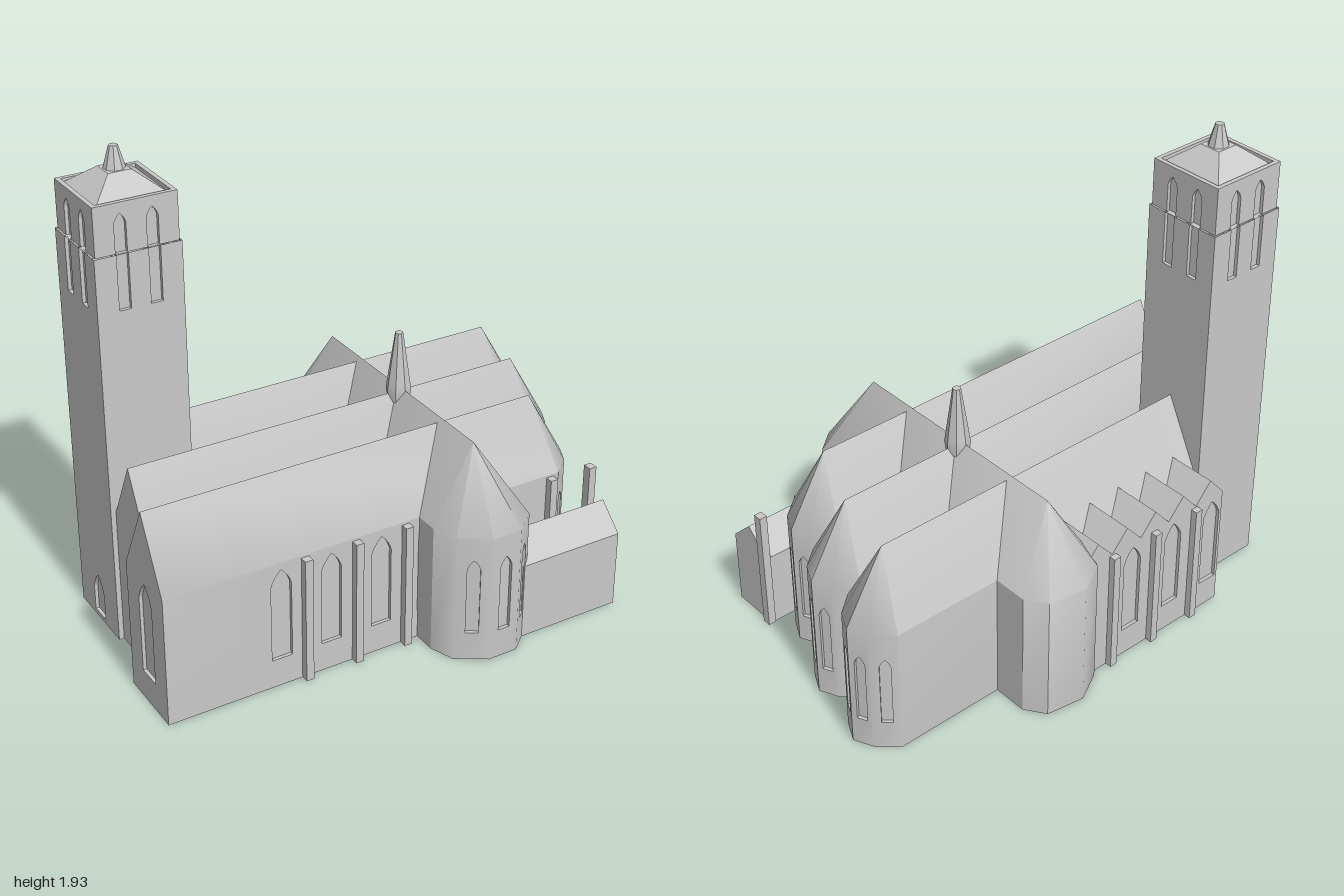
import * as THREE from 'three';
import { mergeGeometries, toCreasedNormals } from 'three/addons/utils/BufferGeometryUtils.js';
import { ConvexGeometry } from 'three/addons/geometries/ConvexGeometry.js';

const stone = new THREE.MeshStandardMaterial({ color: 0xc8c8c8, side: THREE.DoubleSide });
stone.name = 'stone';

const EAVE = 0.535, DEPTH = 0.014, CREASE = 0.75;

function mesh(name, geometry, x = 0, y = 0, z = 0) {
  const m = new THREE.Mesh(geometry, stone);
  m.name = name;
  m.position.set(x, y, z);
  return m;
}

function plain(g) {
  const n = g.index ? g.toNonIndexed() : g;
  n.deleteAttribute('uv');
  return n;
}

const box = (name, x0, x1, y0, y1, z0, z1) =>
  mesh(name, new THREE.BoxGeometry(x1 - x0, y1 - y0, z1 - z0), (x0 + x1) / 2, (y0 + y1) / 2, (z0 + z1) / 2);

// Window outline: pointed arch, or a plain rectangle when flat
function windowShape({ u, w, y0, y1, flat }) {
  const s = new THREE.Shape(), h = w / 2, spring = y1 - w * 0.8;
  s.moveTo(u - h, y0);
  s.lineTo(u + h, y0);
  if (flat) {
    s.lineTo(u + h, y1);
    s.lineTo(u - h, y1);
  } else {
    s.lineTo(u + h, spring);
    s.quadraticCurveTo(u + h * 0.75, spring + w * 0.45, u, y1);
    s.quadraticCurveTo(u - h * 0.75, spring + w * 0.45, u - h, spring);
  }
  s.closePath();
  return s;
}

// Wall from a to b (left to right seen from outside) with recessed windows
function wall(a, b, y0, y1, windows = []) {
  const dir = new THREE.Vector3(b[0] - a[0], 0, b[1] - a[1]);
  const len = dir.length();
  dir.normalize();
  const up = new THREE.Vector3(0, 1, 0);
  const matrix = new THREE.Matrix4().makeBasis(dir, up, dir.clone().cross(up)).setPosition(a[0], 0, a[1]);
  const face = new THREE.Shape([[0, y0], [len, y0], [len, y1], [0, y1]].map(p => new THREE.Vector2(...p)));
  const recesses = [];
  for (const w of windows) {
    const shape = windowShape({ u: len / 2, ...w });
    face.holes.push(shape);
    recesses.push(plain(new THREE.ShapeGeometry(shape, 4).translate(0, 0, -DEPTH)));
    // Reveal strip around the opening
    const pts = shape.getPoints(4), pos = [];
    pts.forEach((p, i) => {
      const q = pts[(i + 1) % pts.length];
      pos.push(p.x, p.y, 0, q.x, q.y, -DEPTH, q.x, q.y, 0, p.x, p.y, 0, p.x, p.y, -DEPTH, q.x, q.y, -DEPTH);
    });
    const reveal = new THREE.BufferGeometry();
    reveal.setAttribute('position', new THREE.Float32BufferAttribute(pos, 3));
    reveal.computeVertexNormals();
    recesses.push(reveal);
  }
  return {
    face: plain(new THREE.ShapeGeometry(face, 4)).applyMatrix4(matrix),
    recesses: recesses.map(g => g.applyMatrix4(matrix)),
  };
}

// Closed ring of walls; windows are listed by edge number; extra surfaces join the smoothing
function walls(name, poly, y0, y1, windows, extra = []) {
  const group = new THREE.Group();
  group.name = name;
  const parts = poly.map((p, i) => wall(p, poly[(i + 1) % poly.length], y0, y1, windows[i]));
  const floor = new THREE.ShapeGeometry(new THREE.Shape(poly.map(p => new THREE.Vector2(...p))));
  floor.rotateX(Math.PI / 2).translate(0, y0, 0);
  const shell = mergeGeometries([...parts.map(p => p.face), plain(floor), ...extra]);
  group.add(mesh(name + 'Shell', toCreasedNormals(shell, CREASE)));
  const recesses = parts.flatMap(p => p.recesses);
  if (recesses.length) group.add(mesh(name + 'Windows', mergeGeometries(recesses)));
  return group;
}

// Walls with a pitched roof spanning from the eaves to a ridge
function roofed(name, poly, ridge, windows) {
  const eaves = poly.map(([x, z]) => new THREE.Vector3(x, EAVE, z));
  const roof = plain(new ConvexGeometry([...eaves, ...ridge.map(p => new THREE.Vector3(...p))]));
  return walls(name, poly, 0, EAVE, windows, [roof]);
}

// Nave running along x with a many-sided apse at its right end
function nave(name, x0, tip, zc, windows) {
  const w = 0.146, s = tip - 0.115, m = tip - 0.038;
  const poly = [[x0, zc + w], [s, zc + w], [m, zc + 0.08], [tip, zc], [m, zc - 0.08], [s, zc - w], [x0, zc - w]];
  const apse = [{ w: 0.042, y0: 0.12, y1: 0.42 }];
  return roofed(name, poly, [[x0, 0.82, zc], [tip - 0.168, 0.82, zc]], { 1: apse, 2: apse, 3: apse, 4: apse, ...windows });
}

// Rectangle corners, starting at the front left and going round
const rect = (x0, x1, z0, z1) => [[x0, z1], [x1, z1], [x1, z0], [x0, z0]];

function prism(pts, depth) {
  return new THREE.ExtrudeGeometry(new THREE.Shape(pts.map(p => new THREE.Vector2(...p))), { depth, bevelEnabled: false });
}

function tower() {
  const g = new THREE.Group();
  g.name = 'bellTower';
  const x0 = -0.93, x1 = -0.59, z0 = -0.475, z1 = -0.14, cx = -0.76, cz = -0.3075, i = 0.007;
  const pair = (len, o) => [-0.062, 0.062].map(d => ({ u: len / 2 + d, w: 0.046, ...o }));
  const low = [0, 1, 2, 3].map(k => pair(k % 2 ? z1 - z0 : x1 - x0, { y0: 1.375, y1: 1.5895, flat: true }));
  low[3].push({ w: 0.09, y0: 0.02, y1: 0.2 });
  const high = [0, 1, 2, 3].map(k => pair((k % 2 ? z1 - z0 : x1 - x0) - 2 * i, { y0: 1.5905, y1: 1.74 }));
  g.add(walls('towerShaft', rect(x0, x1, z0, z1), 0, 1.59, low));
  g.add(walls('belfry', rect(x0 + i, x1 - i, z0 + i, z1 - i), 1.59, 1.755, high));
  // Parapet rim and deck
  const t = 0.018;
  const toShape = pts => new THREE.Shape(pts.map(([x, z]) => new THREE.Vector2(x, -z)));
  const rim = toShape(rect(x0 + i, x1 - i, z0 + i, z1 - i));
  rim.holes.push(toShape(rect(x0 + i + t, x1 - i - t, z0 + i + t, z1 - i - t)));
  const rimGeo = new THREE.ExtrudeGeometry(rim, { depth: 0.025, bevelEnabled: false }).rotateX(-Math.PI / 2);
  g.add(mesh('parapet', rimGeo, 0, 1.755, 0));
  g.add(box('towerDeck', x0 + i + t, x1 - i - t, 1.745, 1.757, z0 + i + t, z1 - i - t));
  // Low pyramid roof and lantern
  const r = Math.SQRT2;
  const roof = new THREE.CylinderGeometry(0.045 * r, 0.152 * r, 0.085, 4, 1).rotateY(Math.PI / 4);
  g.add(mesh('towerRoof', toCreasedNormals(roof, 0.4), cx, 1.7995, cz));
  const lantern = new THREE.CylinderGeometry(0.017, 0.041, 0.085, 8).rotateY(Math.PI / 8);
  g.add(mesh('lantern', toCreasedNormals(lantern, 0.4), cx, 1.8835, cz));
  return g;
}

export function createModel() {
  const model = new THREE.Group();
  model.name = 'church';
  const bays = [-0.53, -0.32, -0.105, 0.1];
  const bayWindows = x0 => bays.map(x => ({ u: x - x0, w: 0.085, y0: 0.12, y1: 0.505 }));

  // Three parallel naves
  model.add(nave('frontNave', -1, 0.815, 0.28, { 0: bayWindows(-1), 6: [{ w: 0.1, y0: 0.12, y1: 0.52 }] }));
  model.add(nave('middleNave', -0.91, 0.935, -0.01, {}));
  model.add(nave('backNave', -0.6, 0.997, -0.302, {}));

  // Transept with an apse at both ends
  const lancet = [{ w: 0.05, y0: 0.12, y1: 0.44 }];
  model.add(roofed('transept',
    [[0.06, -0.55], [0.06, 0.52], [0.095, 0.62], [0.21, 0.692], [0.335, 0.692], [0.425, 0.615],
      [0.425, -0.59], [0.37, -0.67], [0.215, -0.695], [0.095, -0.63]],
    [[0.24, 0.84, 0.5], [0.24, 0.84, -0.51]], { 2: lancet, 3: lancet, 4: lancet }));

  // Slim spire over the crossing
  const spire = new THREE.LatheGeometry(
    [[0, 0.72], [0.035, 0.74], [0.05, 0.83], [0.046, 0.86], [0.016, 1.07], [0, 1.07]].map(p => new THREE.Vector2(...p)), 8);
  model.add(mesh('crossingSpire', toCreasedNormals(spire, 0.4), 0.24, 0, -0.01));

  // Back aisle with a row of small cross gables
  const ax = -0.585, aisleWindows = bayWindows(ax).map(w => ({ ...w, u: 0.105 - ax - w.u }));
  aisleWindows[3].u += 0.01;
  model.add(walls('backAisle', rect(ax, 0.12, -0.61, -0.44), 0, 0.53,
    { 2: aisleWindows.slice(0, 3).map(w => ({ ...w, u: w.u + 0.015 })) }));
  for (let k = 0; k < 5; k++) {
    const x = ax + k * 0.147;
    model.add(mesh('aisleGable', prism([[x, 0.53], [x + 0.147, 0.53], [x + 0.0735, 0.615]], 0.22), 0, 0, -0.61));
  }

  // Buttresses along both long sides
  for (const x of [-0.43, -0.215, 0]) {
    model.add(box('backButtress', x - 0.016, x + 0.016, 0, 0.525, -0.637, -0.6));
  }
  for (const x of [-0.43, -0.215, 0, 0.45, 0.66, 0.845]) {
    model.add(box('frontButtress', x - 0.016, x + 0.016, 0, 0.525, 0.42, 0.457));
  }

  // Small gabled annex
  const annex = prism([[-0.635, 0], [-0.425, 0], [-0.425, 0.32], [-0.53, 0.42], [-0.635, 0.32]], 0.45);
  model.add(mesh('annex', annex.rotateY(Math.PI / 2), 0.395, 0, 0));

  model.add(tower());
  return model;
}
